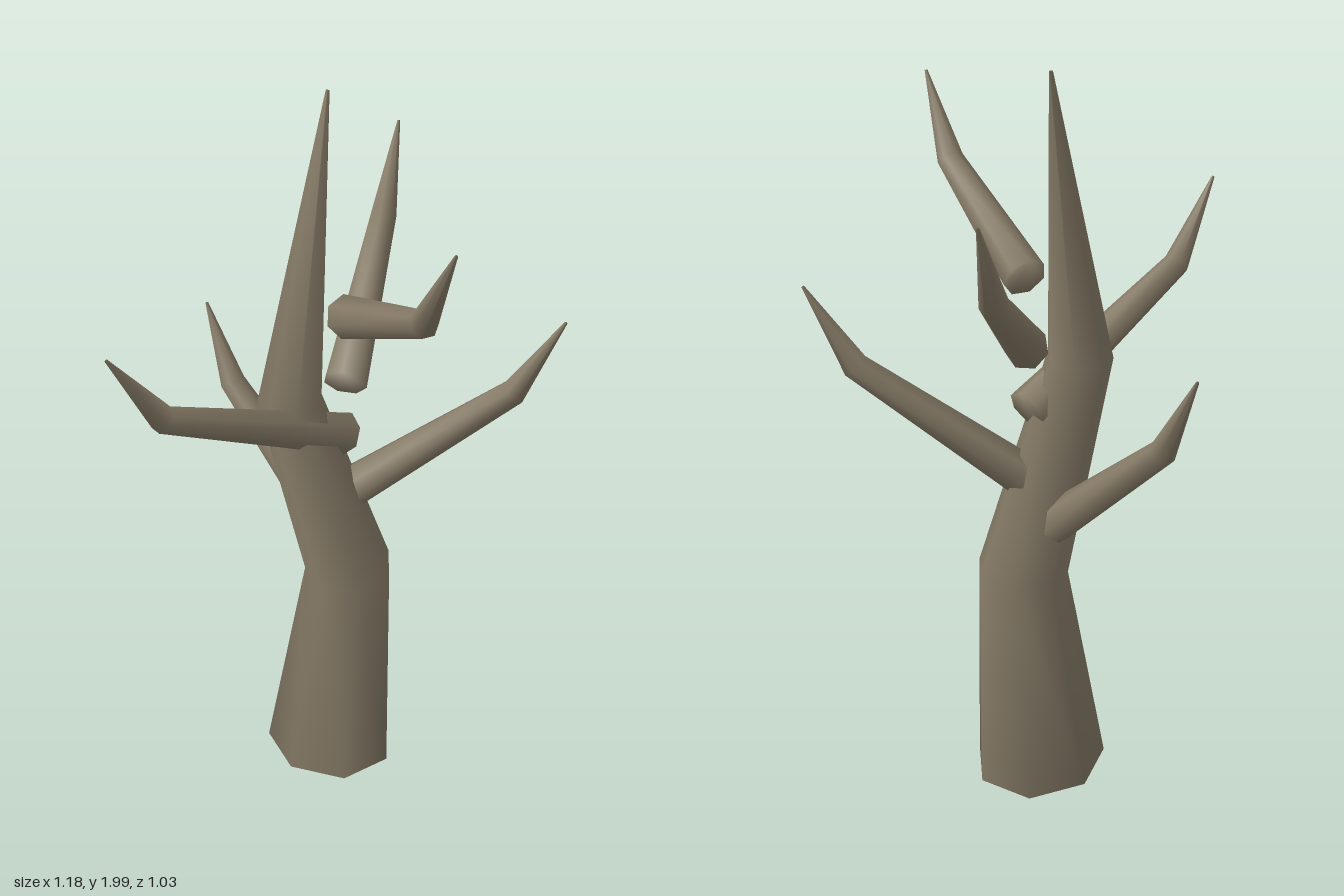
import * as THREE from 'three';

const SIDES = 7;

// Lofts a closed, smooth-shaded limb through stations [x, y, z, radius]
function limbGeometry(stations, ref, phase = 0) {
  const pts = stations.map(s => new THREE.Vector3(s[0], s[1], s[2]));
  const last = pts.length - 1;
  const pos = [], idx = [];
  pts.forEach((p, i) => {
    // each ring lies across the average of the neighbouring directions
    const t = new THREE.Vector3();
    if (i > 0) t.add(p.clone().sub(pts[i - 1]).normalize());
    if (i < last) t.add(pts[i + 1].clone().sub(p).normalize());
    t.normalize();
    const u = ref.clone().addScaledVector(t, -ref.dot(t)).normalize();
    const w = t.clone().cross(u);
    for (let j = 0; j < SIDES; j++) {
      const a = phase + j / SIDES * Math.PI * 2;
      const v = p.clone()
        .addScaledVector(u, Math.cos(a) * stations[i][3])
        .addScaledVector(w, Math.sin(a) * stations[i][3]);
      pos.push(v.x, v.y, v.z);
    }
  });
  for (let i = 0; i < last; i++) {
    for (let j = 0; j < SIDES; j++) {
      const k = (j + 1) % SIDES;
      const a = i * SIDES + j, b = i * SIDES + k;
      idx.push(a, b, a + SIDES, b, b + SIDES, a + SIDES);
    }
  }
  // end caps share the ring corners, so the shading rolls over the rim
  for (let j = 1; j < SIDES - 1; j++) {
    const e = last * SIDES;
    idx.push(0, j + 1, j, e, e + j, e + j + 1);
  }
  const geo = new THREE.BufferGeometry();
  geo.setAttribute('position', new THREE.Float32BufferAttribute(pos, 3));
  geo.setIndex(idx);
  geo.computeVertexNormals();
  return geo;
}

export function createModel() {
  const tree = new THREE.Group();
  tree.name = 'deadTree';
  const bark = new THREE.MeshStandardMaterial({ color: 0x857a66 });
  bark.name = 'greyBrownBark';

  const add = (name, geo) => {
    const mesh = new THREE.Mesh(geo, bark);
    mesh.name = name;
    tree.add(mesh);
  };

  // Crooked trunk, tapering to a point
  add('trunk', limbGeometry([
    [0.06, 0.025, 0.01, 0.185],
    [0.13, 0.65, 0.005, 0.124],
    [-0.025, 1.23, -0.06, 0.088],
    [0.175, 1.998, -0.143, 0.005],
  ], new THREE.Vector3(1, 0, 0), -1.2));

  // Branches: blunt base, elbow, pointed tip
  const branches = {
    rightBranch: [[0.11, 1.105, 0.0], [-0.45, 1.38, -0.037], [-0.59, 1.597, -0.045]],
    leftBackBranch: [[0.1, 1.27, 0.01], [0.475, 1.53, -0.245], [0.588, 1.745, -0.31]],
    leftFrontBranch: [[0.115, 0.92, 0.005], [0.425, 1.24, 0.3], [0.51, 1.45, 0.383]],
    frontBranch: [[0.11, 1.46, 0.005], [-0.03, 1.67, 0.405], [-0.05, 1.89, 0.51]],
    backBranch: [[0.1, 0.785, -0.06], [0.065, 1.09, -0.41], [0.065, 1.3, -0.51]],
  };
  const radii = [0.058, 0.036, 0.004];
  for (const [name, path] of Object.entries(branches)) {
    add(name, limbGeometry(path.map((p, i) => [...p, radii[i]]), new THREE.Vector3(0, 1, 0)));
  }
  return tree;
}
